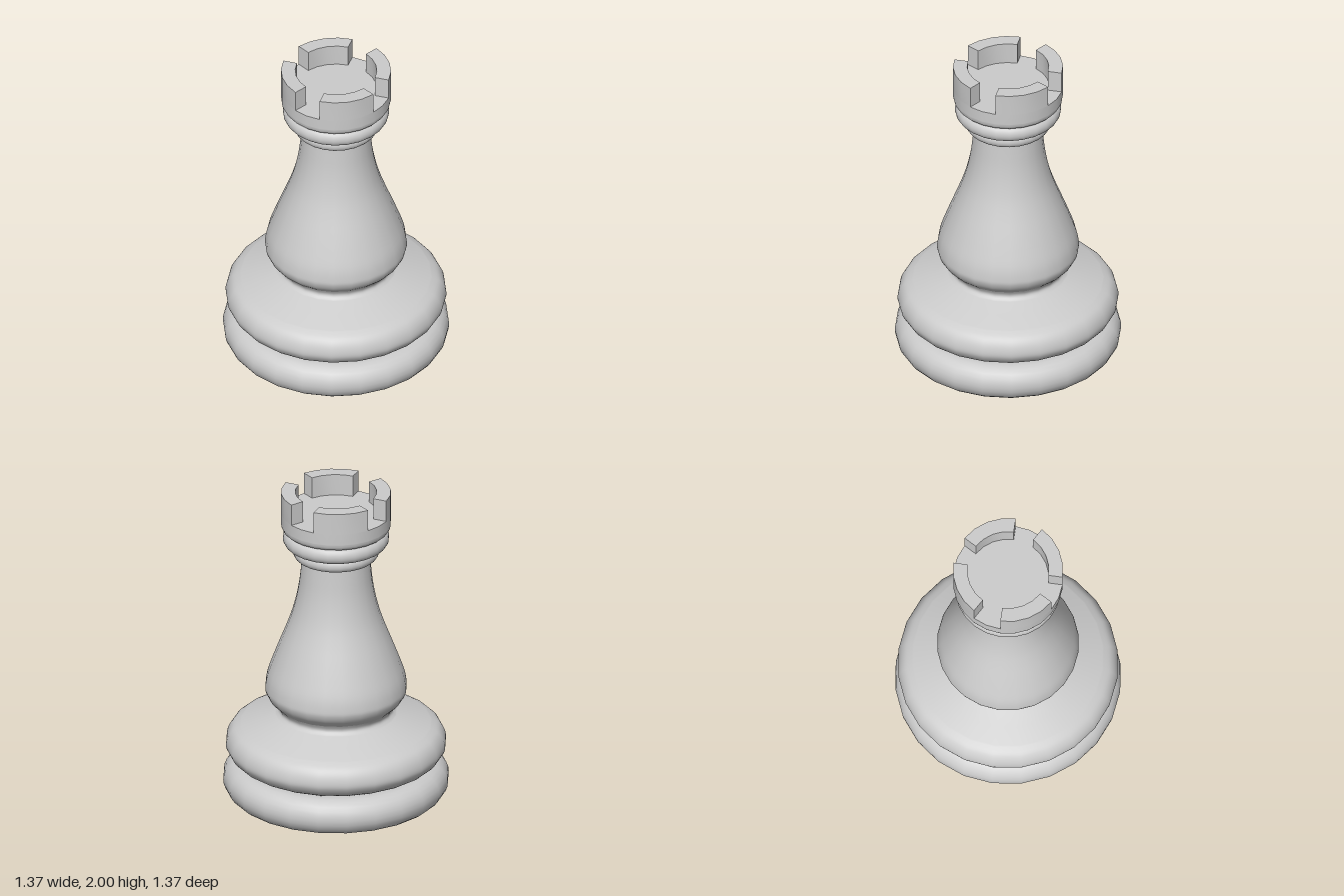
import * as THREE from 'three';
import { toCreasedNormals } from 'three/addons/utils/BufferGeometryUtils.js';

const SIDES = 24;
const CROWN_RADIUS = 0.333;
const FLOOR_Y = 1.865;
const TOP_Y = 2;

export function createModel() {
  const group = new THREE.Group();
  const material = new THREE.MeshStandardMaterial({ color: 0xcccccc });

  const add = (name, geometry) => {
    const mesh = new THREE.Mesh(geometry, material);
    mesh.name = name;
    group.add(mesh);
    return mesh;
  };
  const lathe = (name, points) => add(name, new THREE.LatheGeometry(points, SIDES));
  const spline = (pairs, n) =>
    new THREE.SplineCurve(pairs.map(([r, y]) => new THREE.Vector2(r, y))).getPoints(n);

  // Disc with a half-round rim between two heights
  const roundedDisc = (name, radius, y0, y1, bulge) => {
    const points = [new THREE.Vector2(0, y0)];
    const h = (y1 - y0) / 2;
    for (let i = 0; i <= 12; i++) {
      const a = -Math.PI / 2 + (Math.PI * i) / 12;
      points.push(new THREE.Vector2(radius - bulge + bulge * Math.cos(a), y0 + h + h * Math.sin(a)));
    }
    points.push(new THREE.Vector2(0, y1));
    lathe(name, points);
  };

  // Stepped foot
  roundedDisc('base', 0.685, 0, 0.228, 0.11);
  lathe('upperBase', [
    new THREE.Vector2(0.5, 0.228),
    ...spline([[0.56, 0.23], [0.625, 0.265], [0.66, 0.31], [0.668, 0.35], [0.655, 0.4],
      [0.625, 0.44], [0.575, 0.468]], 24),
    new THREE.Vector2(0.47, 0.504),
    ...spline([[0.37, 0.538], [0.35, 0.555], [0.347, 0.575], [0.36, 0.6]], 8),
  ]);

  // Bulging, tapering body
  lathe('body', spline([[0.36, 0.6], [0.405, 0.645], [0.427, 0.69], [0.428, 0.73], [0.415, 0.8],
    [0.38, 0.9], [0.342, 1.0], [0.303, 1.1], [0.268, 1.2], [0.242, 1.3], [0.224, 1.4],
    [0.213, 1.5], [0.206, 1.58]], 40));

  // Neck rings
  roundedDisc('lowerCollar', 0.261, 1.568, 1.652, 0.037);
  roundedDisc('upperCollar', 0.322, 1.65, 1.75, 0.042);

  // Crown drum and its floor
  lathe('crownDrum', [
    new THREE.Vector2(0, 1.745),
    ...spline([[0.29, 1.745], [0.314, 1.754], [0.328, 1.772], [CROWN_RADIUS, 1.795]], 10),
    new THREE.Vector2(CROWN_RADIUS, FLOOR_Y),
  ]);
  const floor = add('crownFloor', new THREE.CircleGeometry(CROWN_RADIUS, SIDES));
  floor.rotation.x = -Math.PI / 2;
  floor.position.y = FLOOR_Y;

  // Four battlements, each four facets wide, with gaps on the axes
  const arc = (radius) => Array.from({ length: 5 }, (_, i) => {
    const a = ((i + 1) * 2 * Math.PI) / SIDES;
    return new THREE.Vector2(radius * Math.cos(a), radius * Math.sin(a));
  });
  const outline = new THREE.Shape([...arc(CROWN_RADIUS), ...arc(0.247).reverse()]);
  const battlement = toCreasedNormals(
    new THREE.ExtrudeGeometry(outline, { depth: TOP_Y - FLOOR_Y, bevelEnabled: false })
      .rotateX(-Math.PI / 2), 0.5);
  for (let i = 0; i < 4; i++) {
    const mesh = add('battlement', battlement);
    mesh.rotation.y = (i * Math.PI) / 2;
    mesh.position.y = FLOOR_Y;
  }

  return group;
}
